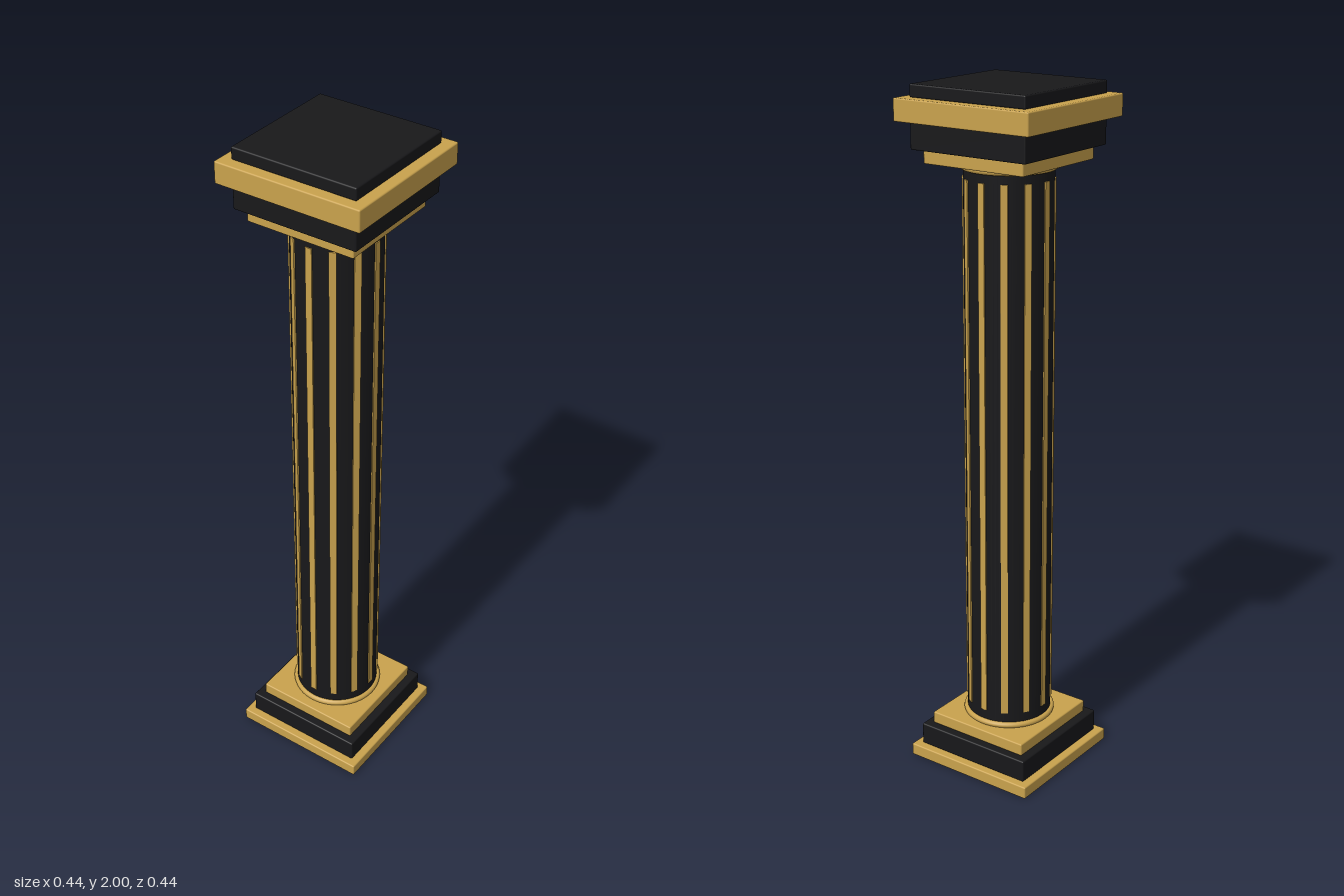
import * as THREE from 'three';
import { RoundedBoxGeometry } from 'three/addons/geometries/RoundedBoxGeometry.js';

export function createModel() {
  const column = new THREE.Group();
  column.name = 'column';
  const gold = new THREE.MeshStandardMaterial({ color: 0xc9a24d });
  const black = new THREE.MeshStandardMaterial({ color: 0x18181a });

  const add = (name, geometry, material, y = 0) => {
    const mesh = new THREE.Mesh(geometry, material);
    mesh.name = name;
    mesh.position.y = y;
    column.add(mesh);
    return mesh;
  };

  // Square slabs of the base and capital: name, bottom, top, half width, material
  const slabs = [
    ['basePlate', 0, 0.037, 0.21, gold],
    ['baseBlock', 0.037, 0.103, 0.187, black],
    ['baseStep', 0.103, 0.14, 0.163, gold],
    ['capitalStep', 1.79, 1.828, 0.163, gold],
    ['capitalBlock', 1.828, 1.903, 0.187, black],
    ['capitalPlate', 1.903, 1.965, 0.218, gold],
    ['capitalTop', 1.965, 2, 0.187, black],
  ];
  for (const [name, y0, y1, half, material] of slabs) {
    add(name, new RoundedBoxGeometry(half * 2, y1 - y0, half * 2, 2, 0.004), material, (y0 + y1) / 2);
  }

  // Round shaft
  add('shaft', new THREE.CylinderGeometry(0.124, 0.124, 1.66, 64), black, 0.965);

  // Thin gold collars where the shaft meets the square steps
  for (const [name, y] of [['baseCollar', 0.147], ['capitalCollar', 1.783]]) {
    const collar = new THREE.TorusGeometry(0.126, 0.009, 12, 64).rotateX(Math.PI / 2);
    add(name, collar, gold, y);
  }

  // Twelve gold strips inlaid around the shaft
  const strip = new THREE.BoxGeometry(0.02, 1.565, 0.012).translate(0, 0, 0.121);
  for (let i = 0; i < 12; i++) {
    add('shaftStrip', strip, gold, 0.968).rotation.y = (i * Math.PI) / 6;
  }

  return column;
}
